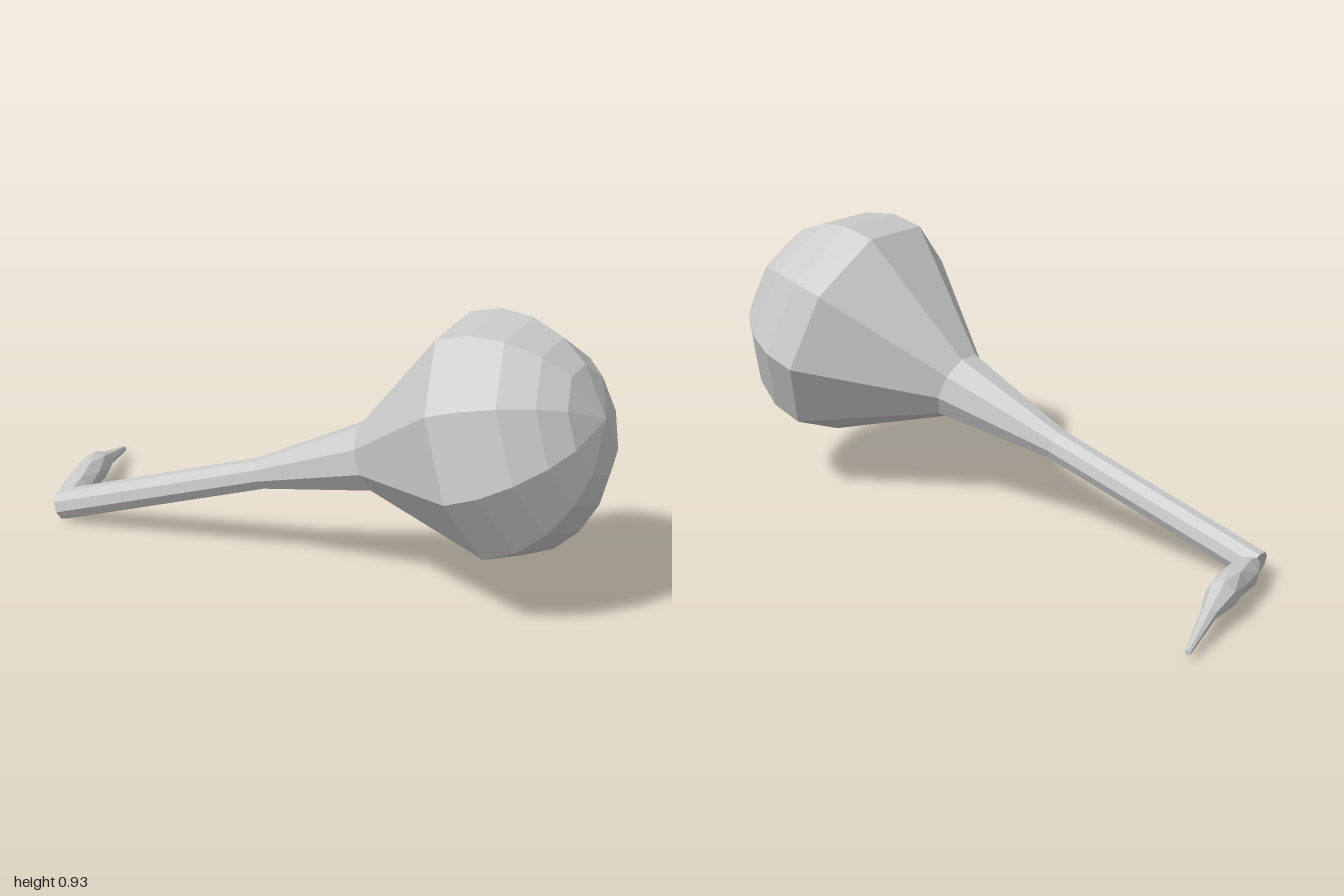
import * as THREE from 'three';

const material = () => new THREE.MeshStandardMaterial({ color: 0xcccccc, flatShading: true });

// Skin rings of {x, y, z, rx, ry, twist} that run towards -z, closed at both ends
function loft(rings, sides) {
  const pos = [], index = [];
  for (const [z, x, y, rx, ry, twist] of rings) {
    for (let j = 0; j < sides; j++) {
      const a = (j / sides) * Math.PI * 2 + twist;
      pos.push(x + rx * Math.cos(a), y + ry * Math.sin(a), z);
    }
  }
  for (let i = 0; i < rings.length - 1; i++) {
    for (let j = 0; j < sides; j++) {
      const k = (j + 1) % sides;
      const a = i * sides + j, b = i * sides + k, c = a + sides, d = b + sides;
      index.push(a, c, b, b, c, d);
    }
  }
  const last = (rings.length - 1) * sides;
  for (let j = 1; j < sides - 1; j++) {
    index.push(0, j, j + 1);
    index.push(last, last + j + 1, last + j);
  }
  const g = new THREE.BufferGeometry();
  g.setAttribute('position', new THREE.Float32BufferAttribute(pos, 3));
  g.setIndex(index);
  g.computeVertexNormals();
  return g;
}

export function createModel() {
  const group = new THREE.Group();
  group.name = 'bulbWithSpike';

  // Bulb and handle: one nine-sided turned form, handle end at the origin
  const headBase = 1.638, headRadius = 0.397;
  const profile = [[0, 0], [0.052, 0], [0.053, 0.806], [0.117, 1.225], [headRadius, headBase]];
  for (const h of [0.11, 0.212, 0.305, 0.365]) {
    profile.push([Math.sqrt(0.405 ** 2 - h * h), headBase + h]);
  }
  profile.push([0, headBase + 0.408]);
  const bulb = new THREE.Mesh(
    new THREE.LatheGeometry(profile.map(([r, h]) => new THREE.Vector2(r, h)), 9),
    material()
  );
  bulb.name = 'bulbAndHandle';

  // Tilt the turned form so that one of its ridges points down
  const axis = new THREE.Vector3(1.545, 0.49, 0.24).normalize();
  const ridge = new THREE.Vector3(0.302, -0.953, -0.015);
  ridge.addScaledVector(axis, -ridge.dot(axis)).normalize();
  const side = new THREE.Vector3().crossVectors(axis, ridge);
  bulb.quaternion.setFromRotationMatrix(new THREE.Matrix4().makeBasis(side, axis, ridge));
  bulb.position.set(-0.94, 0.053, 0.012);
  group.add(bulb);

  // Twisted spike pointing back from the handle end: z, x, y, rx, ry, twist
  const spike = new THREE.Mesh(
    loft([
      [-0.015, -0.94, 0.07, 0.022, 0.025, 0],
      [-0.09, -0.937, 0.07, 0.05, 0.052, 0.2],
      [-0.2, -0.94, 0.08, 0.05, 0.052, 0.4],
      [-0.315, -0.95, 0.08, 0.051, 0.051, 0.9],
      [-0.43, -0.958, 0.067, 0.027, 0.024, 1.0],
      [-0.635, -0.98, 0.029, 0.01, 0.01, 1.0],
    ], 7),
    material()
  );
  spike.name = 'spike';
  group.add(spike);

  return group;
}
